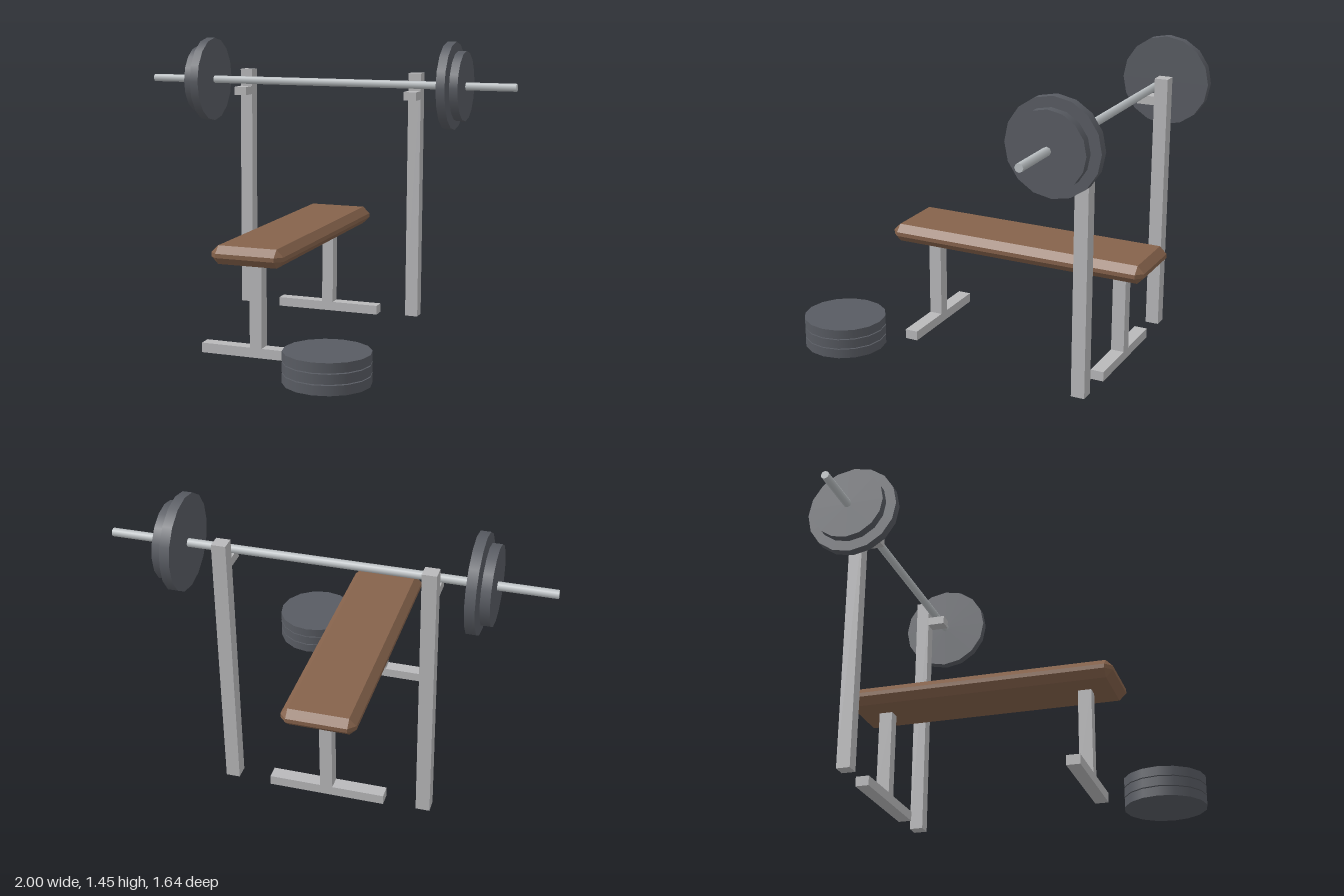
import * as THREE from 'three';
import { ConvexGeometry } from 'three/addons/geometries/ConvexGeometry.js';

const material = (name, color) => {
  const m = new THREE.MeshStandardMaterial({ color });
  m.name = name;
  return m;
};

// Box with every edge and corner cut by a single chamfer
function chamferedBox(w, h, d, c) {
  const points = [];
  for (const sx of [-1, 1]) for (const sy of [-1, 1]) for (const sz of [-1, 1]) {
    const x = w / 2, y = h / 2, z = d / 2;
    points.push(
      new THREE.Vector3(sx * x, sy * (y - c), sz * (z - c)),
      new THREE.Vector3(sx * (x - c), sy * y, sz * (z - c)),
      new THREE.Vector3(sx * (x - c), sy * (y - c), sz * z));
  }
  return new ConvexGeometry(points);
}

export function createModel() {
  const model = new THREE.Group();
  model.name = 'weightBench';
  const frame = material('frameGrey', 0xb8b8ba);
  const steel = material('barSteel', 0xbabfc2);
  const iron = material('plateIron', 0x585b62);
  const leather = material('padBrown', 0x85624b);

  const add = (name, geometry, mat, x, y, z) => {
    const mesh = new THREE.Mesh(geometry, mat);
    mesh.name = name;
    mesh.position.set(x, y, z);
    model.add(mesh);
    return mesh;
  };
  // Box given by its centre in x and z and its bottom and top
  const post = (name, w, d, y0, y1, x, z) =>
    add(name, new THREE.BoxGeometry(w, y1 - y0, d), frame, x, (y0 + y1) / 2, z);
  // Cylinder lying along x
  const disc = (name, r, length, sides, mat, x) => {
    const mesh = add(name, new THREE.CylinderGeometry(r, r, length, sides), mat, x, 1.226, -0.6);
    mesh.rotation.z = Math.PI / 2;
  };

  // Bench pad
  add('benchPad', chamferedBox(0.357, 0.088, 1.33, 0.034), leather, 0, 0.503, -0.156);

  // T-shaped bench legs
  for (const [side, z] of [['front', 0.345], ['back', -0.655]]) {
    post(side + 'Leg', 0.06, 0.065, 0.045, 0.465, 0, z);
    post(side + 'Foot', 0.555, 0.065, 0, 0.047, 0, z);
  }

  // Rack uprights, bar rests and the loaded plates
  for (const [side, s] of [['left', 1], ['right', -1]]) {
    post(side + 'Upright', 0.066, 0.066, 0.01, 1.283, s * 0.467, -0.655);
    post(side + 'BarRest', 0.066, 0.09, 1.15, 1.193, s * 0.467, -0.58);
    disc(side + 'LargePlate', 0.222, 0.045, 16, iron, s * 0.665);
    disc(side + 'SmallPlate', 0.177, 0.043, 16, iron, s * 0.72);
  }
  disc('bar', 0.02, 2, 8, steel, 0);

  // Spare plates stacked on the floor
  for (let i = 0; i < 3; i++) {
    add('sparePlate' + (i + 1), new THREE.CylinderGeometry(0.2, 0.2, 0.045, 16), iron,
      0.443, 0.0225 + i * 0.05, 0.622);
  }
  return model;
}
